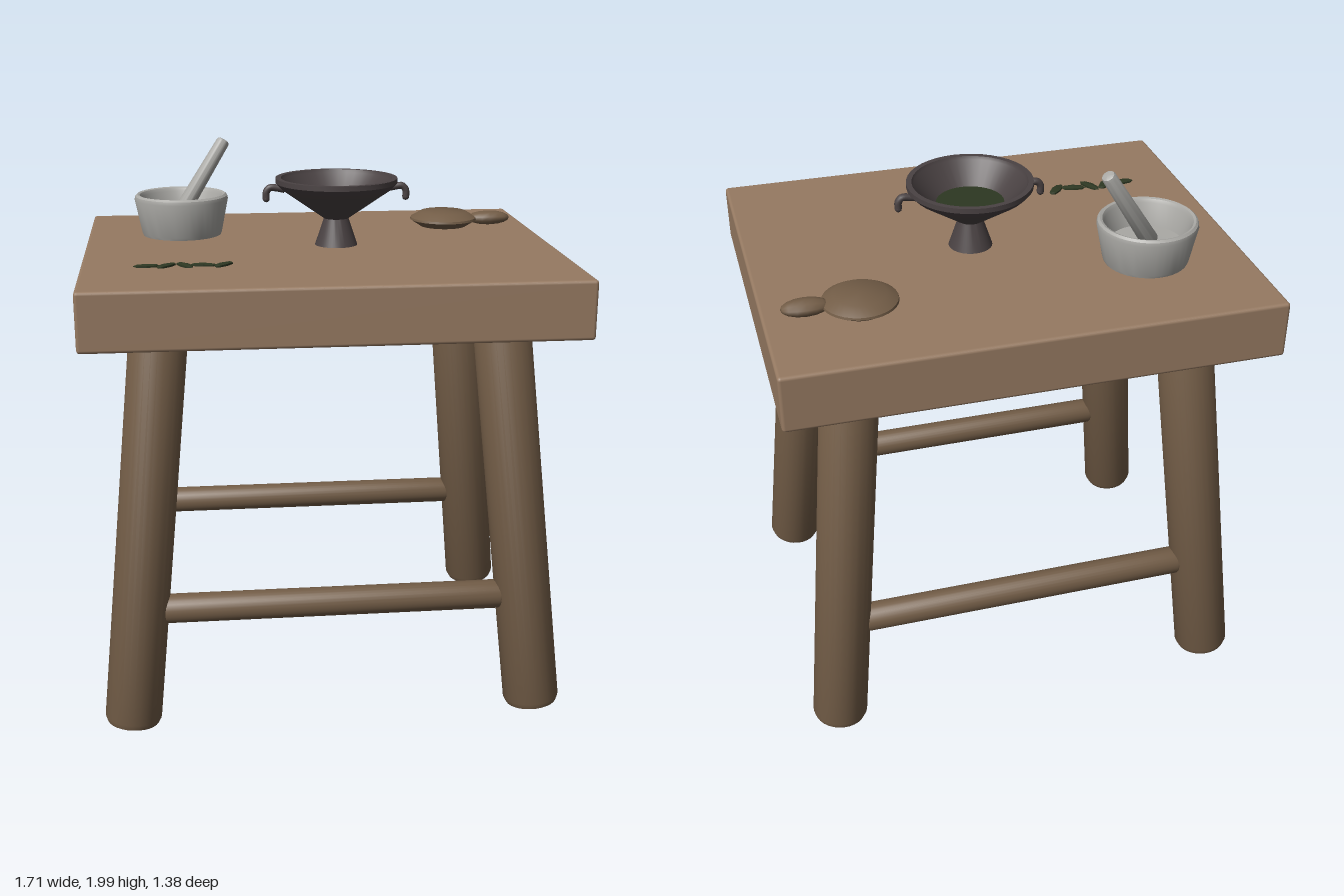
import * as THREE from 'three';
import { toCreasedNormals } from 'three/addons/utils/BufferGeometryUtils.js';
import { RoundedBoxGeometry } from 'three/addons/geometries/RoundedBoxGeometry.js';

const paint = (name, color) => {
  const m = new THREE.MeshStandardMaterial({ color });
  m.name = name;
  return m;
};

const TOP = 1.635; // height of the table surface

export function createModel() {
  const mats = {
    top: paint('light wood', 0x967a62),
    wood: paint('dark wood', 0x735d47),
    stone: paint('grey stone', 0xa9a8a4),
    iron: paint('dark iron', 0x4a4243),
    herb: paint('dark green', 0x2d3722),
  };
  const model = new THREE.Group();
  model.name = 'workTable';

  const add = (name, geometry, material, parent = model) => {
    const mesh = new THREE.Mesh(geometry, material);
    mesh.name = name;
    parent.add(mesh);
    return mesh;
  };
  const turned = (profile, segments = 40) => toCreasedNormals(
    new THREE.LatheGeometry(profile.map(([r, y]) => new THREE.Vector2(r, y)), segments), 0.5);

  // Round bar with softened ends between two points
  const rod = (name, from, to, r0, r1, bevel, material, parent) => {
    const a = new THREE.Vector3(...from);
    const dir = new THREE.Vector3(...to).sub(a);
    const len = dir.length();
    const mesh = add(name, turned([
      [0, 0], [r0 - bevel, 0], [r0 - bevel * 0.3, bevel * 0.3], [r0, bevel],
      [r1, len - bevel], [r1 - bevel * 0.3, len - bevel * 0.3], [r1 - bevel, len], [0, len],
    ], 28), material, parent);
    mesh.position.copy(a);
    mesh.quaternion.setFromUnitVectors(new THREE.Vector3(0, 1, 0), dir.normalize());
    return mesh;
  };

  // Table: slab, four splayed legs, front and back stretchers
  add('tableTop', new RoundedBoxGeometry(1.71, 0.205, 1.385, 2, 0.012), mats.top).position.y = 1.5325;
  for (const sz of [1, -1]) {
    for (const sx of [1, -1]) {
      rod('leg', [sx * 0.734, 0.011, sz * 0.56], [sx * 0.587, 1.5, sz * 0.427], 0.101, 0.101, 0.03, mats.wood);
    }
    rod('stretcher', [-0.612, 0.438, sz * 0.522], [0.612, 0.438, sz * 0.522], 0.052, 0.052, 0.014, mats.wood);
  }

  // Mortar and pestle
  const mortar = new THREE.Group();
  mortar.name = 'mortarAndPestle';
  model.add(mortar);
  add('mortar', turned([
    [0, 0], [0.148, 0], [0.152, 0.01], [0.177, 0.135], [0.174, 0.148], [0.166, 0.155],
    [0.157, 0.152], [0.15, 0.14], [0.13, 0.06], [0, 0.055],
  ]), mats.stone, mortar).position.set(-0.5, TOP, -0.265);
  rod('pestle', [-0.525, 1.685, -0.238], [-0.332, 1.985, -0.297], 0.032, 0.025, 0.01, mats.stone, mortar);

  // Footed iron bowl with its filling and two hooked handles
  const bowl = new THREE.Group();
  bowl.name = 'footedBowl';
  bowl.position.set(0.063, TOP, 0);
  model.add(bowl);
  add('bowl', turned([
    [0, 0], [0.078, 0], [0.045, 0.098], [0.06, 0.108], [0.2, 0.205], [0.222, 0.228],
    [0.222, 0.246], [0.203, 0.246], [0.198, 0.235], [0.105, 0.15], [0, 0.14],
  ]), mats.iron, bowl);
  add('filling', new THREE.CylinderGeometry(0.12, 0.115, 0.006, 40), mats.herb, bowl).position.y = 0.163;
  for (const s of [1, -1]) {
    const path = new THREE.CatmullRomCurve3([
      [0.19, 0.205], [0.215, 0.21], [0.243, 0.212], [0.256, 0.197], [0.257, 0.172],
    ].map(([x, y]) => new THREE.Vector3(s * x, y, 0)));
    add('handle', new THREE.TubeGeometry(path, 16, 0.013, 10), mats.iron, bowl);
    const tip = add('handleTip', new THREE.SphereGeometry(0.013, 10, 6), mats.iron, bowl);
    tip.position.set(s * 0.257, 0.172, 0);
  }

  // Flat round loaf with a small tapered one beside it
  add('roundLoaf', turned([
    [0, 0], [0.09, 0], [0.13, 0.026], [0.128, 0.034], [0.09, 0.056], [0, 0.06],
  ], 32), mats.wood).position.set(0.527, TOP, -0.335);
  const small = add('smallLoaf', new THREE.SphereGeometry(1, 10, 8), mats.wood);
  small.scale.set(0.028, 0.083, 0.045);
  small.rotation.z = -Math.PI / 2;
  small.position.set(0.708, 1.663, -0.332);

  // Row of herb leaves: faceted, tapered slivers
  const leaf = new THREE.SphereGeometry(1, 6, 4).toNonIndexed();
  leaf.rotateZ(Math.PI / 2);
  leaf.computeVertexNormals();
  const leaves = [[-0.628, 0.05], [-0.56, 0.85], [-0.498, -1.05], [-0.432, -0.2], [-0.364, 0.85]];
  for (const [x, turn] of leaves) {
    const mesh = add('herbLeaf', leaf, mats.herb);
    mesh.scale.set(0.048, 0.008, 0.02);
    mesh.rotation.y = turn;
    mesh.position.set(x, TOP + 0.003, 0.33);
  }
  return model;
}
